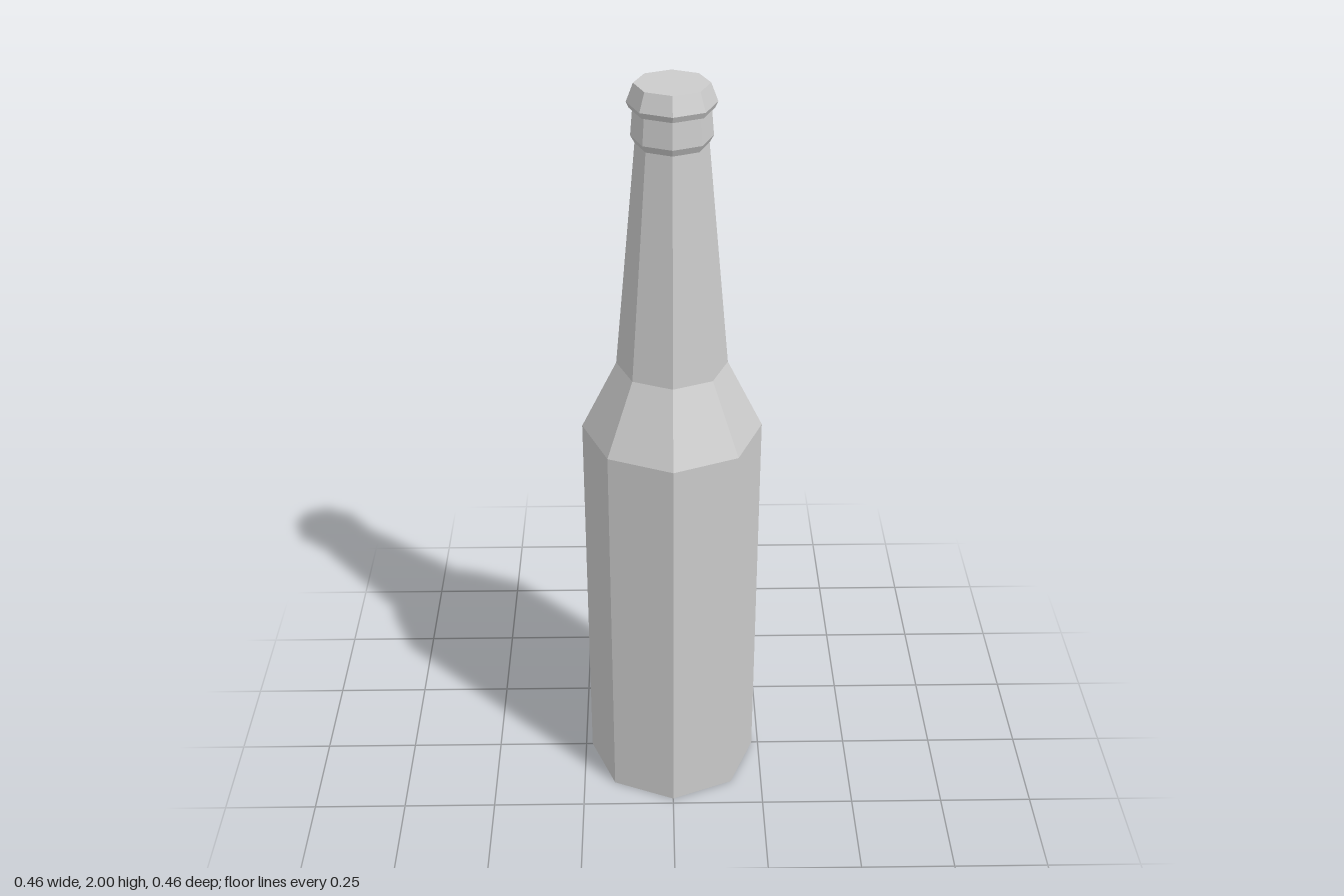
import * as THREE from 'three';

const SIDES = 8;

// Faceted solid of revolution from [radius, height] pairs, bottom to top
function turned(name, profile) {
  const points = profile.map(([r, y]) => new THREE.Vector2(r, y));
  const material = new THREE.MeshStandardMaterial({ color: 0xcccccc, flatShading: true });
  const mesh = new THREE.Mesh(new THREE.LatheGeometry(points, SIDES), material);
  mesh.name = name;
  return mesh;
}

export function createModel() {
  const bottle = new THREE.Group();
  bottle.name = 'bottle';

  // Base, body, sloped shoulder, tapering neck and collar under the cap
  bottle.add(turned('bottleBody', [
    [0, 0], [0.232, 0], [0.232, 1.085], [0.141, 1.27],
    [0.088, 1.855], [0.098, 1.873], [0.092, 1.945],
  ]));

  // Flared cap with a bevelled lower rim and flat top
  bottle.add(turned('cap', [
    [0, 1.94], [0.1, 1.94], [0.107, 1.955], [0.09, 2], [0, 2],
  ]));

  return bottle;
}
